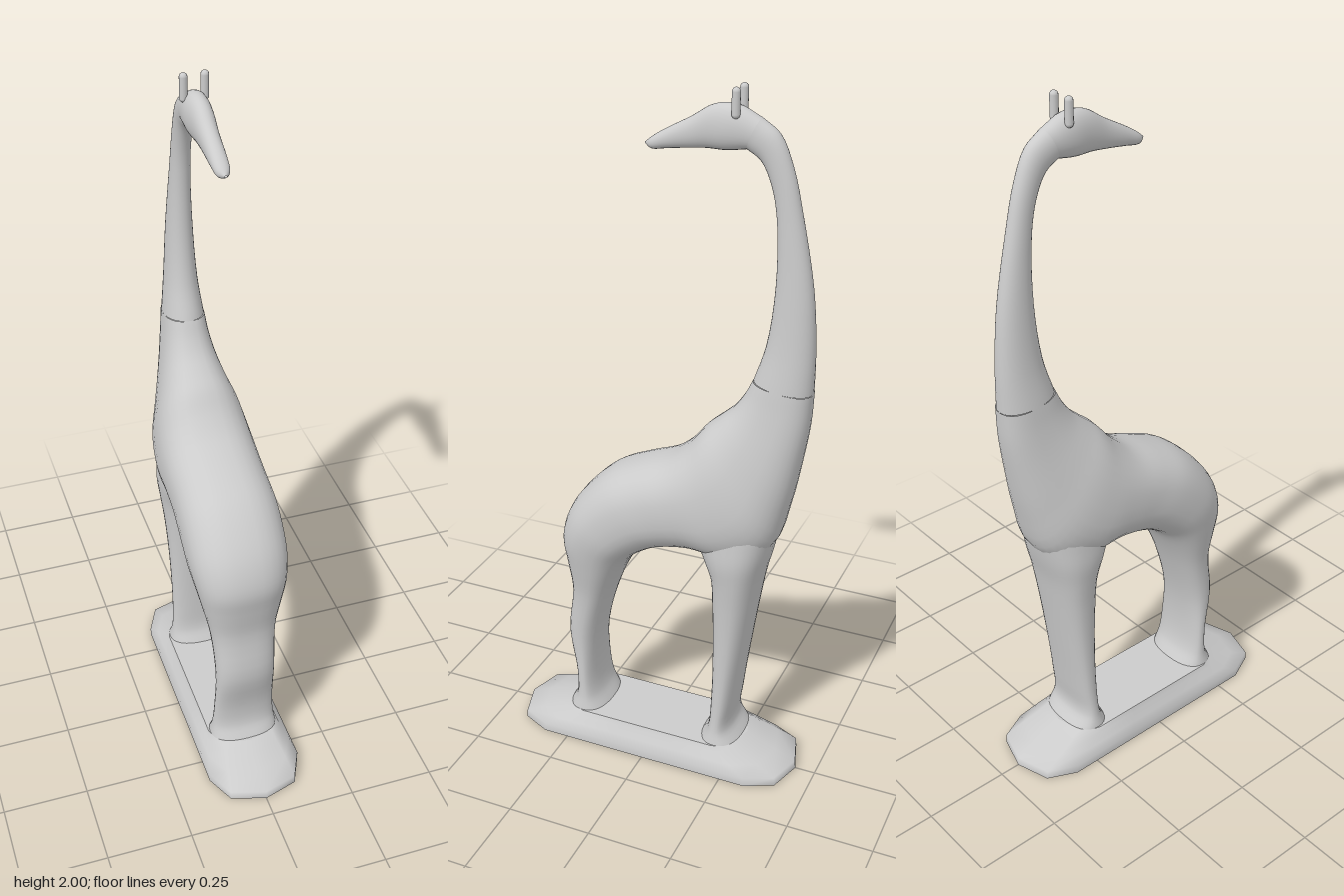
import * as THREE from 'three';

const material = new THREE.MeshStandardMaterial({ color: 0xcccccc, side: THREE.DoubleSide });
const SIDES = 32;

// Point on a rounded-box outline; larger n is squarer.
function outline(angle, n) {
  const c = Math.cos(angle), s = Math.sin(angle);
  return [Math.sign(c) * Math.abs(c) ** (2 / n), Math.sign(s) * Math.abs(s) ** (2 / n)];
}

// Joins rings of points into a smooth tube.
function skin(rings, name) {
  const n = rings[0].length, index = [];
  for (let i = 0; i < rings.length - 1; i++) {
    for (let j = 0; j < n; j++) {
      const a = i * n + j, b = i * n + (j + 1) % n;
      index.push(a, b, b + n, a, b + n, a + n);
    }
  }
  const geometry = new THREE.BufferGeometry();
  geometry.setAttribute('position', new THREE.Float32BufferAttribute(rings.flat(2), 3));
  geometry.setIndex(index);
  geometry.computeVertexNormals();
  const mesh = new THREE.Mesh(geometry, material);
  mesh.name = name;
  return mesh;
}

// Each section: [zA, yA, zB, yB, halfWidth], two opposite side-profile points and a width.
function loft(sections, name, n = 2.4, steps = 4) {
  const A = new THREE.CatmullRomCurve3(sections.map(s => new THREE.Vector3(s[4], s[1], s[0])));
  const B = new THREE.CatmullRomCurve3(sections.map(s => new THREE.Vector3(s[4], s[3], s[2])));
  const count = (sections.length - 1) * steps, rings = [];
  for (let i = 0; i <= count; i++) {
    const a = A.getPoint(i / count), b = B.getPoint(i / count), ring = [];
    for (let j = 0; j < SIDES; j++) {
      const [c, s] = outline(j / SIDES * Math.PI * 2, n);
      ring.push([a.x * s, (a.y + b.y) / 2 + (a.y - b.y) / 2 * c, (a.z + b.z) / 2 + (a.z - b.z) / 2 * c]);
    }
    rings.push(ring);
  }
  return skin(rings, name);
}

export function createModel() {
  const model = new THREE.Group();

  // Rear leg, rump, trunk and chest in one sweep
  model.add(loft([
    [0.275, 0.087, 0.155, 0.087, 0.103],
    [0.252, 0.13, 0.18, 0.13, 0.095],
    [0.25, 0.21, 0.192, 0.21, 0.09],
    [0.277, 0.35, 0.185, 0.33, 0.088],
    [0.262, 0.5, 0.15, 0.47, 0.096],
    [0.275, 0.6, 0.11, 0.57, 0.116],
    [0.285, 0.68, 0.08, 0.62, 0.13],
    [0.262, 0.76, 0.05, 0.65, 0.14],
    [0.215, 0.83, 0.02, 0.67, 0.143],
    [0.14, 0.9, -0.02, 0.69, 0.143],
    [0.05, 0.943, -0.07, 0.703, 0.14],
    [-0.04, 0.98, -0.13, 0.71, 0.14],
    [-0.1, 1.03, -0.24, 0.7, 0.138],
    [-0.145, 1.085, -0.342, 0.75, 0.126],
    [-0.185, 1.12, -0.385, 0.88, 0.102],
    [-0.222, 1.155, -0.413, 1.02, 0.08],
    [-0.25, 1.195, -0.43, 1.13, 0.066],
    [-0.272, 1.24, -0.435, 1.22, 0.058],
  ], 'body'));

  // Neck
  model.add(loft([
    [-0.272, 1.24, -0.435, 1.22, 0.058],
    [-0.303, 1.34, -0.435, 1.33, 0.046],
    [-0.322, 1.5, -0.422, 1.5, 0.036],
    [-0.318, 1.68, -0.383, 1.7, 0.027],
    [-0.3, 1.765, -0.355, 1.81, 0.026],
    [-0.272, 1.82, -0.318, 1.89, 0.028],
    [-0.235, 1.845, -0.27, 1.925, 0.031],
  ], 'neck', 2.1));

  // Head, from the nape to the muzzle tip
  model.add(loft([
    [-0.235, 1.845, -0.27, 1.925, 0.031],
    [-0.18, 1.837, -0.205, 1.953, 0.036],
    [-0.13, 1.837, -0.145, 1.948, 0.031],
    [-0.085, 1.833, -0.085, 1.912, 0.026],
    [-0.02, 1.825, -0.015, 1.874, 0.023],
    [0.02, 1.82, 0.02, 1.852, 0.018],
    [0.04, 1.831, 0.04, 1.836, 0.003],
  ], 'head', 2.1));

  // Front leg, rising into the chest
  model.add(loft([
    [-0.155, 0.087, -0.275, 0.087, 0.103],
    [-0.178, 0.13, -0.247, 0.13, 0.094],
    [-0.184, 0.22, -0.255, 0.22, 0.089],
    [-0.184, 0.4, -0.28, 0.4, 0.091],
    [-0.18, 0.55, -0.302, 0.55, 0.1],
    [-0.174, 0.64, -0.317, 0.64, 0.11],
    [-0.15, 0.7, -0.337, 0.72, 0.118],
    [-0.12, 0.76, -0.353, 0.8, 0.115],
  ], 'frontLeg'));

  // Horns
  for (const side of [-1, 1]) {
    const horn = new THREE.Mesh(new THREE.CapsuleGeometry(0.011, 0.055, 6, 12), material);
    horn.position.set(side * 0.028, 1.961, -0.212);
    horn.name = side > 0 ? 'leftHorn' : 'rightHorn';
    model.add(horn);
  }

  // Hollow base: rings of [halfX, halfZ, y] around an elongated outline
  const plan = [[0, 1], [0.72, 0.93], [1, 0.74], [1, 0.25], [1, -0.25], [1, -0.74], [0.72, -0.93],
    [0, -1], [-0.72, -0.93], [-1, -0.74], [-1, -0.25], [-1, 0.25], [-1, 0.74], [-0.72, 0.93]];
  const levels = [[0.14, 0.44, 0], [0.14, 0.438, 0.026], [0.127, 0.375, 0.05],
    [0.113, 0.32, 0.072], [0.107, 0.285, 0.087]];
  model.add(skin(levels.map(([w, d, y]) => plan.map(([x, z]) => [x * w, y, z * d])), 'baseRim'));

  // Top of the base, opening into both hollow legs
  const [w, d, y] = levels[levels.length - 1];
  const deck = new THREE.Shape(plan.map(([x, z]) => new THREE.Vector2(x * w, -z * d)));
  for (const z of [0.215, -0.215]) {
    const hole = [];
    for (let j = 0; j < SIDES; j++) {
      const [c, s] = outline(j / SIDES * Math.PI * 2, 2.4);
      hole.push(new THREE.Vector2(s * 0.103, -z - c * 0.06));
    }
    deck.holes.push(new THREE.Path(hole));
  }
  const top = new THREE.Mesh(new THREE.ShapeGeometry(deck).rotateX(-Math.PI / 2), material);
  top.position.y = y;
  top.name = 'baseTop';
  model.add(top);

  return model;
}
